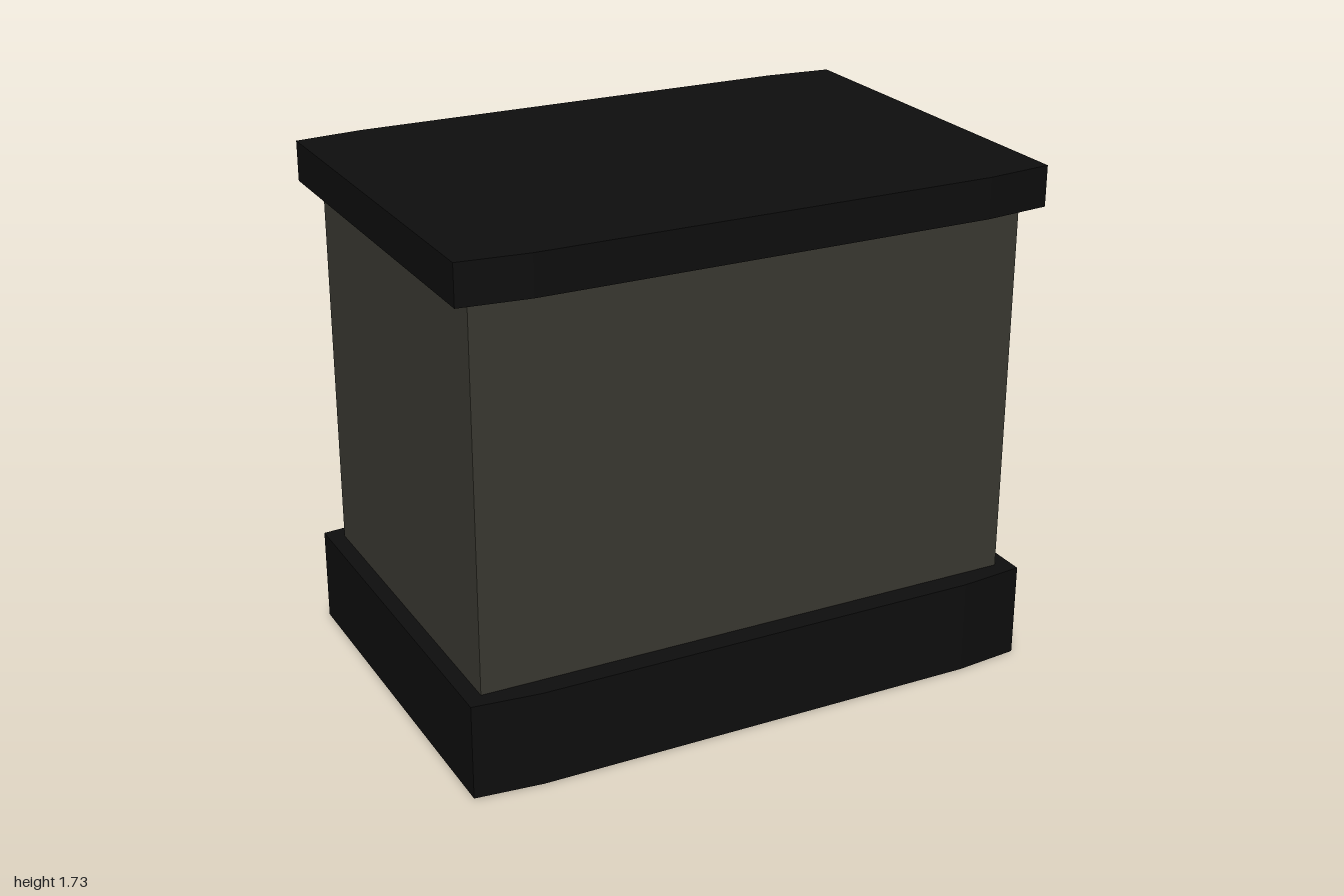
import * as THREE from 'three';

const mat = (name, color) => {
  const m = new THREE.MeshStandardMaterial({ color });
  m.name = name;
  return m;
};

export function createModel() {
  const group = new THREE.Group();
  const wall = mat('olive wall', 0x3b3a32);
  const dark = mat('black trim', 0x0e0e0e);
  const pale = mat('pale grey', 0x949496);

  const add = (name, geo, material, parent = group) => {
    const m = new THREE.Mesh(geo, material);
    m.name = name;
    parent.add(m);
    return m;
  };
  // Box given by its minimum and maximum corners
  const box = (name, material, [x0, y0, z0], [x1, y1, z1], parent) => {
    const g = new THREE.BoxGeometry(x1 - x0, y1 - y0, z1 - z0);
    g.translate((x0 + x1) / 2, (y0 + y1) / 2, (z0 + z1) / 2);
    return add(name, g, material, parent);
  };
  const poly = (pts) => new THREE.Shape(pts.map(([x, y]) => new THREE.Vector2(x, y)));
  // Plan outline of [x, z] points raised from y0 to y1
  const slab = (name, material, pts, y0, y1) => {
    const g = new THREE.ExtrudeGeometry(poly(pts.map(([x, z]) => [x, -z])), { depth: y1 - y0, bevelEnabled: false });
    g.rotateX(-Math.PI / 2).translate(0, y0, 0);
    return add(name, g, material);
  };

  const doorX0 = 0.375, doorX1 = 0.755, doorTop = 0.79;
  const shopZ = -0.535, doorZ = -0.41, glassZ = -0.465;

  // Plinth, notched at the doorway, with slightly angled corners
  slab('plinth', dark, [
    [-0.995, 0.727], [-0.77, 0.75], [0.77, 0.75], [0.995, 0.727],
    [0.995, -0.588], [0.77, -0.61], [doorX1, -0.61], [doorX1, doorZ],
    [doorX0, doorZ], [doorX0, -0.61], [-0.77, -0.61], [-0.995, -0.588],
  ], 0, 0.32);

  // Overhanging flat roof
  slab('roof', dark, [
    [-1, 0.73], [-0.77, 0.755], [0.77, 0.755], [1, 0.73],
    [1, -0.6], [0.77, -0.622], [-0.77, -0.622], [-1, -0.6],
  ], 1.595, 1.73);

  // Main body and the pierced shop wall
  box('body', wall, [-0.94, 0.31, doorZ], [0.94, 1.6, 0.675]);
  const facade = poly([
    [-0.94, 0.31], [doorX0, 0.31], [doorX0, doorTop], [doorX1, doorTop],
    [doorX1, 0.31], [0.94, 0.31], [0.94, 1.6], [-0.94, 1.6],
  ]);
  facade.holes.push(new THREE.Path([
    [-0.85, 0.476], [-0.85, 1.11], [0.186, 1.11], [0.186, 0.476],
  ].map(([x, y]) => new THREE.Vector2(x, y))));
  const facadeGeo = new THREE.ExtrudeGeometry(facade, { depth: doorZ - shopZ, bevelEnabled: false });
  add('shopWall', facadeGeo.translate(0, 0, shopZ), wall);

  // Shop window
  box('shopWindow', pale, [-0.85, 0.476, glassZ], [0.186, 1.11, glassZ + 0.008]);

  // Door with two columns of rounded panes
  const door = new THREE.Group();
  door.name = 'door';
  group.add(door);
  box('doorLeaf', dark, [doorX0, 0, doorZ - 0.009], [doorX1, doorTop, doorZ], door);
  const pane = (cx, y0, y1) => {
    const w = 0.043, r = Math.min(0.025, (y1 - y0) / 2.2);
    const s = new THREE.Shape();
    s.moveTo(cx - w + r, y0);
    s.lineTo(cx + w - r, y0).quadraticCurveTo(cx + w, y0, cx + w, y0 + r);
    s.lineTo(cx + w, y1 - r).quadraticCurveTo(cx + w, y1, cx + w - r, y1);
    s.lineTo(cx - w + r, y1).quadraticCurveTo(cx - w, y1, cx - w, y1 - r);
    s.lineTo(cx - w, y0 + r).quadraticCurveTo(cx - w, y0, cx - w + r, y0);
    const g = new THREE.ExtrudeGeometry(s, { depth: 0.006, bevelEnabled: false, curveSegments: 5 });
    add('doorPane', g.translate(0, 0, doorZ - 0.014), pale, door);
  };
  for (const cx of [0.51, 0.62]) {
    pane(cx, 0.39, 0.625);
    pane(cx, 0.645, 0.705);
  }

  // Blank sign board
  box('signBoard', dark, [-0.563, 1.275, -0.6], [0.563, 1.515, shopZ]);

  // Striped sloping awning on a wall rail
  const awning = new THREE.Group();
  awning.name = 'awning';
  awning.position.set(0, 0.965, -0.557);
  awning.rotation.x = -Math.atan2(0.152, 0.195);
  group.add(awning);
  const length = 0.247, edges = [0.19, 0.39, 0.54, 0.77, 0.94];
  for (let i = 0; i < 4; i++) {
    const light = i % 2 === 1;
    box('awningStripe', light ? pale : dark, [edges[i], -0.022, -length], [edges[i + 1], -0.004, 0], awning);
    box('awningTop', light ? wall : dark, [edges[i], -0.004, -length], [edges[i + 1], 0, 0], awning);
  }
  box('awningEnd', pale, [0.187, -0.022, -length], [0.19, -0.002, 0], awning);
  box('awningRail', dark, [0.2, 0.948, -0.56], [0.935, 0.963, shopZ]);

  return group;
}
